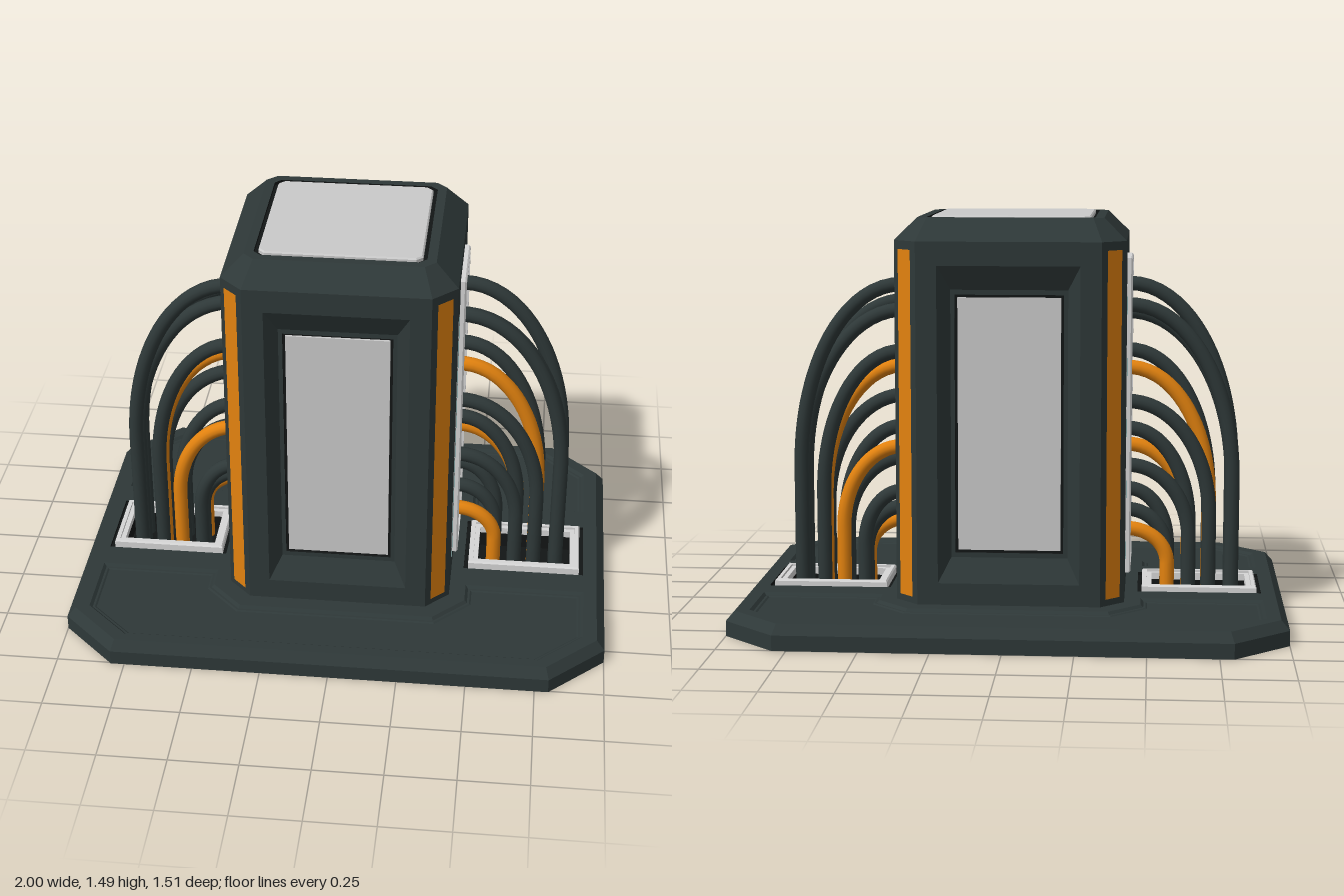
import * as THREE from 'three';

const mat = (name, color, side = THREE.FrontSide) => {
  const m = new THREE.MeshStandardMaterial({ color, side });
  m.name = name;
  return m;
};

// Rectangle outline, counter-clockwise
const rect = (cx, cy, w, h) => [[-1, -1], [1, -1], [1, 1], [-1, 1]]
  .map(([a, b]) => [cx + a * w / 2, cy + b * h / 2]);

// Rectangle outline with cut corners
const octagon = (w, h, cx, cy) => [
  [w, -h + cy], [w, h - cy], [w - cx, h], [-w + cx, h],
  [-w, h - cy], [-w, -h + cy], [-w + cx, -h], [w - cx, -h],
];

// Mitred inward offset of a counter-clockwise outline
function inset(pts, d) {
  const n = pts.length;
  const normal = (a, b) => {
    const l = Math.hypot(b[0] - a[0], b[1] - a[1]);
    return [-(b[1] - a[1]) / l, (b[0] - a[0]) / l];
  };
  return pts.map((p, i) => {
    const u = normal(pts[(i + n - 1) % n], p);
    const v = normal(p, pts[(i + 1) % n]);
    const k = d / (1 + u[0] * v[0] + u[1] * v[1]);
    return [p[0] + (u[0] + v[0]) * k, p[1] + (u[1] + v[1]) * k];
  });
}

const toPath = (pts, Type = THREE.Path) => new Type(pts.map(p => new THREE.Vector2(p[0], p[1])));

// Flat plate facing +z with holes
function plate(pts, z, holes = []) {
  const shape = toPath(pts, THREE.Shape);
  holes.forEach(h => shape.holes.push(toPath(h)));
  return new THREE.ShapeGeometry(shape).translate(0, 0, z);
}

// Flat-sided walls through successive [outline, z] rings; falling z makes a recess
function walls(rings) {
  const pos = [];
  for (let r = 0; r + 1 < rings.length; r++) {
    const [p, z] = rings[r], [q, w] = rings[r + 1];
    p.forEach((a, i) => {
      const j = (i + 1) % p.length;
      const A = [...a, z], B = [...p[j], z], C = [...q[j], w], D = [...q[i], w];
      pos.push(...A, ...B, ...C, ...A, ...C, ...D);
    });
  }
  const g = new THREE.BufferGeometry();
  g.setAttribute('position', new THREE.Float32BufferAttribute(pos, 3));
  g.computeVertexNormals();
  return g;
}

export function createModel() {
  const slate = mat('dark slate', 0x2e3838);
  const black = mat('black', 0x121515);
  const frameGrey = mat('frame grey', 0xd6d6d6);
  const panelGrey = mat('panel grey', 0xcacaca);
  const orange = mat('orange', 0xe2820f);
  const cyan = mat('cyan', 0x7cd2d2);
  const white = mat('white', 0xf2f2f2);

  const model = new THREE.Group();
  model.name = 'cableTower';
  const add = (parent, name, geo, material) => {
    const m = new THREE.Mesh(geo, material);
    m.name = name;
    parent.add(m);
    return m;
  };
  const group = (parent, name) => {
    const g = new THREE.Group();
    g.name = name;
    parent.add(g);
    return g;
  };
  // Walls plus closing floor or lid
  const shell = (parent, name, rings, material, holes = []) => {
    add(parent, name, walls(rings), material);
    const [p, z] = rings[rings.length - 1];
    add(parent, name + 'Cap', plate(p, z, holes), material);
  };

  // Framed cable opening: black gap, stepped light frame, dark well
  const socket = (parent, name, cx, cy, w, h, depth) => {
    const g = group(parent, name);
    const r = rect(cx, cy, w, h), gap = inset(r, -0.016);
    const mid = inset(r, 0.018), inner = inset(r, 0.036);
    shell(g, 'socketGap', [[gap, 0], [gap, -0.012]], black, [r]);
    add(g, 'socketFrame', walls([[r, -0.012], [r, 0.014], [inset(r, 0.005), 0.02],
      [mid, 0.02], [mid, 0.011], [inner, 0.011], [inner, -0.015]]), frameGrey);
    shell(g, 'socketWell', [[inner, -0.015], [inner, -depth]], black);
    return gap;
  };

  // Base plate, built lying in xy and turned upright
  const base = group(model, 'base');
  base.rotation.x = -Math.PI / 2;
  const outline = octagon(1, 0.755, 0.2, 0.19);
  const panel = [[0.92, 0.265], [0.92, 0.535], [0.755, 0.69], [-0.755, 0.69], [-0.92, 0.535], [-0.92, 0.265],
    [-0.475, 0.265], [-0.475, 0.36], [-0.36, 0.475], [0.36, 0.475], [0.475, 0.36], [0.475, 0.265]];
  const turned = pts => pts.map(([x, y]) => [-x, -y]);
  const holes = [panel, turned(panel)];
  for (const s of [1, -1]) holes.push(socket(base, 'baseSocket', s * 0.69, 0, 0.425, 0.285, 0.075).map(p => [...p]));
  // socket positions are in plate coordinates at z = 0, so lift them to the plate top
  base.children.forEach(c => { c.position.z = 0.09; });
  shell(base, 'basePlate', [[outline, 0], [outline, 0.055], [inset(outline, 0.03), 0.09]], slate, holes);
  for (const p of [panel, turned(panel)]) {
    const lip = inset(p, 0.01), ledge = inset(p, 0.018);
    shell(base, 'basePanel', [[p, 0.09], [lip, 0.08], [ledge, 0.08], [inset(p, 0.024), 0.076]], slate);
  }
  add(base, 'baseUnderside', plate(outline, 0).rotateX(Math.PI), slate);

  // Tower faces
  const R = 0.415, flat = 0.33, y0 = 0.085, y1 = 1.4, midY = (y0 + y1) / 2;
  const tower = group(model, 'tower');
  const face = (name, angle, out) => {
    const turn = group(tower, name);
    turn.rotation.y = angle;
    const g = group(turn, name + 'Surface');
    g.position.z = out;
    return g;
  };
  const wall = rect(0, midY, flat * 2, y1 - y0);
  for (const a of [0, Math.PI]) {
    // Front and back: bevelled recess holding a light panel
    const f = face('panelFace', a, R);
    const hole = rect(0, 0.742, 0.51, 1.145);
    const foot = rect(0, 0.742, 0.42, 0.97);
    const screen = rect(0, 0.742, 0.37, 0.915);
    const rim = inset(screen, -0.01);
    add(f, 'towerWall', plate(wall, 0, [hole]), slate);
    shell(f, 'panelRecess', [[hole, 0], [foot, -0.045]], slate, [rim]);
    shell(f, 'panelGap', [[rim, -0.045], [rim, -0.055]], black);
    shell(f, 'lightPanel', [[screen, -0.055], [screen, -0.046]], panelGrey);

    // Sides: tall cable opening between two glowing strips
    const s = face('cableFace', a + Math.PI / 2, R);
    const gap = socket(s, 'towerSocket', 0, 0.742, 0.29, 1.17, 0.2);
    add(s, 'towerWall', plate(wall, 0, [gap]), slate);
    for (const x of [-0.273, 0.273]) {
      add(s, 'stripBorder', plate(rect(x, 0.742, 0.05, 1.05), 0.002), white);
      add(s, 'glowStrip', plate(rect(x, 0.742, 0.038, 1.034), 0.004), cyan);
    }
  }
  // Cut corners with orange strips
  for (let i = 0; i < 4; i++) {
    const c = face('towerCorner', Math.PI / 4 + i * Math.PI / 2, (R + flat) / Math.SQRT2);
    add(c, 'cornerWall', plate(rect(0, midY, (R - flat) * Math.SQRT2, y1 - y0), 0), slate);
    add(c, 'cornerStrip', plate(rect(0, 0.742, 0.07, 1.255), 0.003), orange);
  }

  // Sloped roof with a light lid
  const roof = group(tower, 'roof');
  roof.rotation.x = -Math.PI / 2;
  const eaves = octagon(R, R, R - flat, R - flat);
  const lidGap = octagon(0.302, 0.302, 0.025, 0.025);
  const lid = octagon(0.287, 0.287, 0.022, 0.022);
  shell(roof, 'roofSlope', [[eaves, y1], [inset(eaves, 0.08), 1.48]], slate, [lidGap]);
  shell(roof, 'lidGap', [[lidGap, 1.48], [lidGap, 1.468]], black);
  shell(roof, 'lid', [[lid, 1.468], [lid, 1.48], [inset(lid, 0.005), 1.485]], panelGrey);

  // Cables on one side: landing x, start height, z, material
  const cables = [
    [0.81, 1.22, -0.055, slate], [0.81, 1.12, 0, slate], [0.81, 1.15, 0.06, slate],
    [0.725, 0.97, -0.055, slate], [0.725, 0.91, 0, orange], [0.725, 0.79, 0.06, slate],
    [0.65, 0.61, -0.055, orange], [0.65, 0.68, 0, slate], [0.65, 0.55, 0.06, slate],
    [0.57, 0.44, -0.055, slate], [0.57, 0.37, 0, slate], [0.57, 0.31, 0.066, orange],
  ];
  const V = (x, y, z) => new THREE.Vector3(x, y, z);
  for (const a of [0, Math.PI]) {
    const bundle = group(model, 'cableBundle');
    bundle.rotation.y = a;
    for (const [x, y, z, m] of cables) {
      const sx = 0.42, end = 0.1 + (y - 0.1) * 0.38, k = 0.56;
      const path = new THREE.CurvePath();
      path.add(new THREE.LineCurve3(V(0.22, y, z), V(sx, y, z)));
      path.add(new THREE.CubicBezierCurve3(V(sx, y, z), V(sx + (x - sx) * k, y, z),
        V(x, end + (y - end) * k, z), V(x, end, z)));
      path.add(new THREE.LineCurve3(V(x, end, z), V(x, 0.02, z)));
      add(bundle, 'cable', new THREE.TubeGeometry(path, 40, 0.027, 12), m);
    }
  }
  return model;
}
